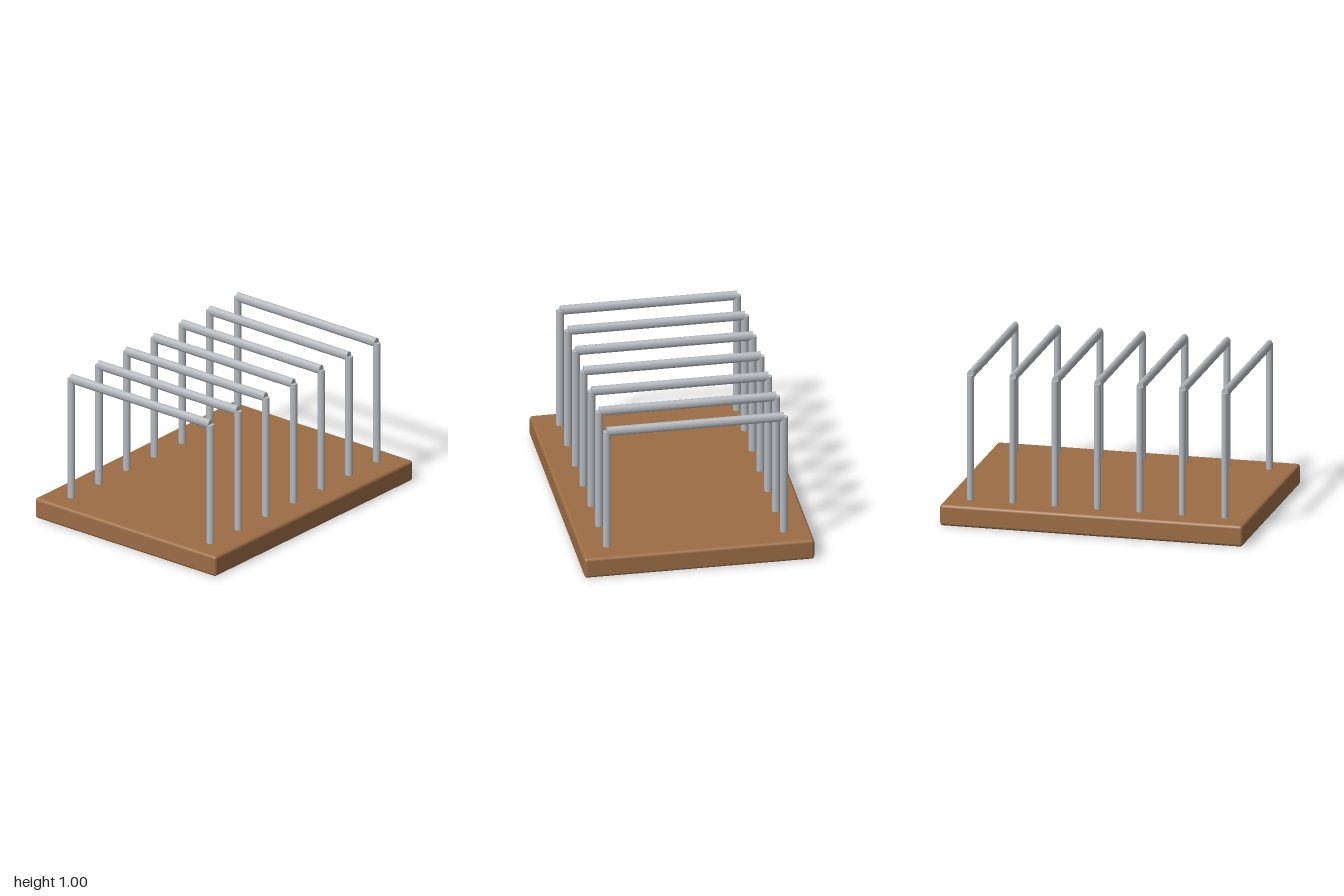
import * as THREE from 'three';
import { RoundedBoxGeometry } from 'three/addons/geometries/RoundedBoxGeometry.js';

export function createModel() {
  const model = new THREE.Group();
  model.name = 'dishRack';

  const wood = new THREE.MeshStandardMaterial({ color: 0x9c6d45 });
  wood.name = 'wood';
  const steel = new THREE.MeshStandardMaterial({ color: 0xb4b9be });
  steel.name = 'steel';

  // Wooden base with softened edges
  const base = new THREE.Mesh(new RoundedBoxGeometry(2, 0.14, 1.495, 3, 0.02), wood);
  base.name = 'base';
  base.position.y = 0.07;
  model.add(base);

  // Slightly oval rods: upright post and horizontal rail
  const postZ = 0.575, postTop = 0.968, postBottom = 0.12;
  const postGeometry = new THREE.CylinderGeometry(1, 1, postTop - postBottom, 16).scale(0.0225, 1, 0.026);
  const railGeometry = new THREE.CylinderGeometry(1, 1, postZ * 2, 16)
    .rotateX(Math.PI / 2)
    .scale(0.0225, 0.032, 1);

  // Seven hoops, each with two posts and a rail
  for (let i = -3; i <= 3; i++) {
    const hoop = new THREE.Group();
    hoop.name = 'hoop' + (i + 4);
    hoop.position.x = i * 0.28;
    for (const side of [1, -1]) {
      const post = new THREE.Mesh(postGeometry, steel);
      post.name = side > 0 ? 'frontPost' : 'backPost';
      post.position.set(0, (postTop + postBottom) / 2, side * postZ);
      hoop.add(post);
    }
    const rail = new THREE.Mesh(railGeometry, steel);
    rail.name = 'topRail';
    rail.position.y = postTop;
    hoop.add(rail);
    model.add(hoop);
  }

  return model;
}
